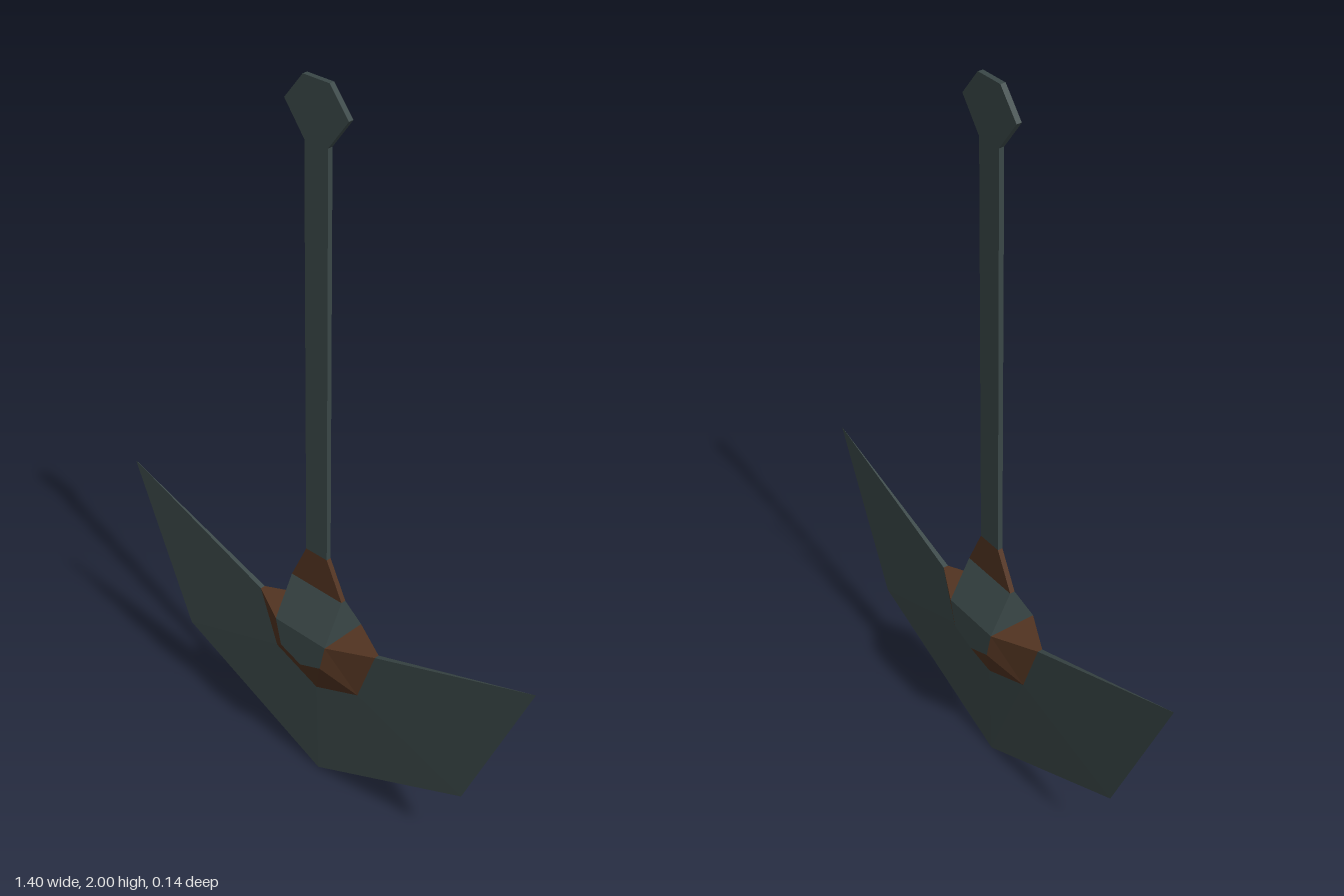
import * as THREE from 'three';

const T = 0.007; // half thickness of the flat stock

const steel = new THREE.MeshStandardMaterial({ color: 0x3a4747, flatShading: true });
steel.name = 'dark steel';
const leather = new THREE.MeshStandardMaterial({ color: 0x523421, flatShading: true });
leather.name = 'brown leather';

// Mirror polygons across an axis (0 = x, 2 = z), keeping them facing outward
const mirror = (polys, axis) =>
  polys.map((p) => p.map((v) => v.map((c, i) => (i === axis ? -c : c))).reverse());
const both = (polys, axis) => [...polys, ...mirror(polys, axis)];

// Flat-shaded mesh from convex polygons
function facets(name, polys, material) {
  const pos = [];
  for (const p of polys)
    for (let i = 1; i < p.length - 1; i++) pos.push(...p[0], ...p[i], ...p[i + 1]);
  const geo = new THREE.BufferGeometry();
  geo.setAttribute('position', new THREE.Float32BufferAttribute(pos, 3));
  geo.computeVertexNormals();
  const mesh = new THREE.Mesh(geo, material);
  mesh.name = name;
  return mesh;
}

// Flat plate cut from a half outline listed from bottom to top
function plate(name, half, material) {
  const pts = [...half, ...half.map(([x, y]) => [-x, y]).reverse()];
  const shape = new THREE.Shape(pts.map(([x, y]) => new THREE.Vector2(x, y)));
  const geo = new THREE.ExtrudeGeometry(shape, { depth: 2 * T, bevelEnabled: false });
  geo.translate(0, 0, -T);
  const mesh = new THREE.Mesh(geo, material);
  mesh.name = name;
  return mesh;
}

// Five-point arc running left, down and right, from its right half
const arc = ([a, b, c], z) =>
  [[-a[0], a[1], z], [-b[0], b[1], z], [c[0], c[1], z], [...b, z], [...a, z]];
const band = (outer, inner) =>
  [0, 1, 2, 3].map((i) => [outer[i], outer[i + 1], inner[i + 1], inner[i]]);

export function createModel() {
  const model = new THREE.Group();
  model.name = 'broadBladeAxe';

  const edge = arc([[0.7, 0.69], [0.5, 0.23], [0, 0]], 0);
  const rim = arc([[0.205, 0.515], [0.147, 0.355], [0, 0.295]], T);
  const face = arc([[0.088, 0.515], [0.07, 0.437], [0, 0.41]], 0.068);

  // Blade tapering to a sharp edge, with narrow top faces
  const bladeTop = [[[0.205, 0.515, T], [0.7, 0.69, 0], [0.205, 0.515, -T]]];
  model.add(facets('blade', [...both(band(edge, rim), 2), ...both(bladeTop, 0)], steel));

  // Sloping collar around the boss
  const collarTop = [[[0.088, 0.515, 0.068], [0.205, 0.515, T], [0.205, 0.515, -T], [0.088, 0.515, -0.068]]];
  model.add(facets('collar', [...both(band(rim, face), 2), ...both(collarTop, 0)], leather));

  // Raised boss with a wedge-shaped top
  const slope = [[-0.088, 0.515, 0.068], [0.088, 0.515, 0.068], [0.088, 0.627, T], [-0.088, 0.627, T]];
  const cheek = [[[0.088, 0.515, 0.068], [0.088, 0.515, -0.068], [0.088, 0.627, -T], [0.088, 0.627, T]]];
  model.add(facets('boss', [...both([face, slope], 2), ...both(cheek, 0)], steel));

  // Neck, handle and pommel
  model.add(plate('neck', [[0.088, 0.627], [0.036, 0.735]], leather));
  model.add(plate('handle', [[0.036, 0.735], [0.036, 1.85]], steel));
  model.add(plate('pommel', [[0.036, 1.85], [0.097, 1.93], [0.04, 2]], steel));

  return model;
}
